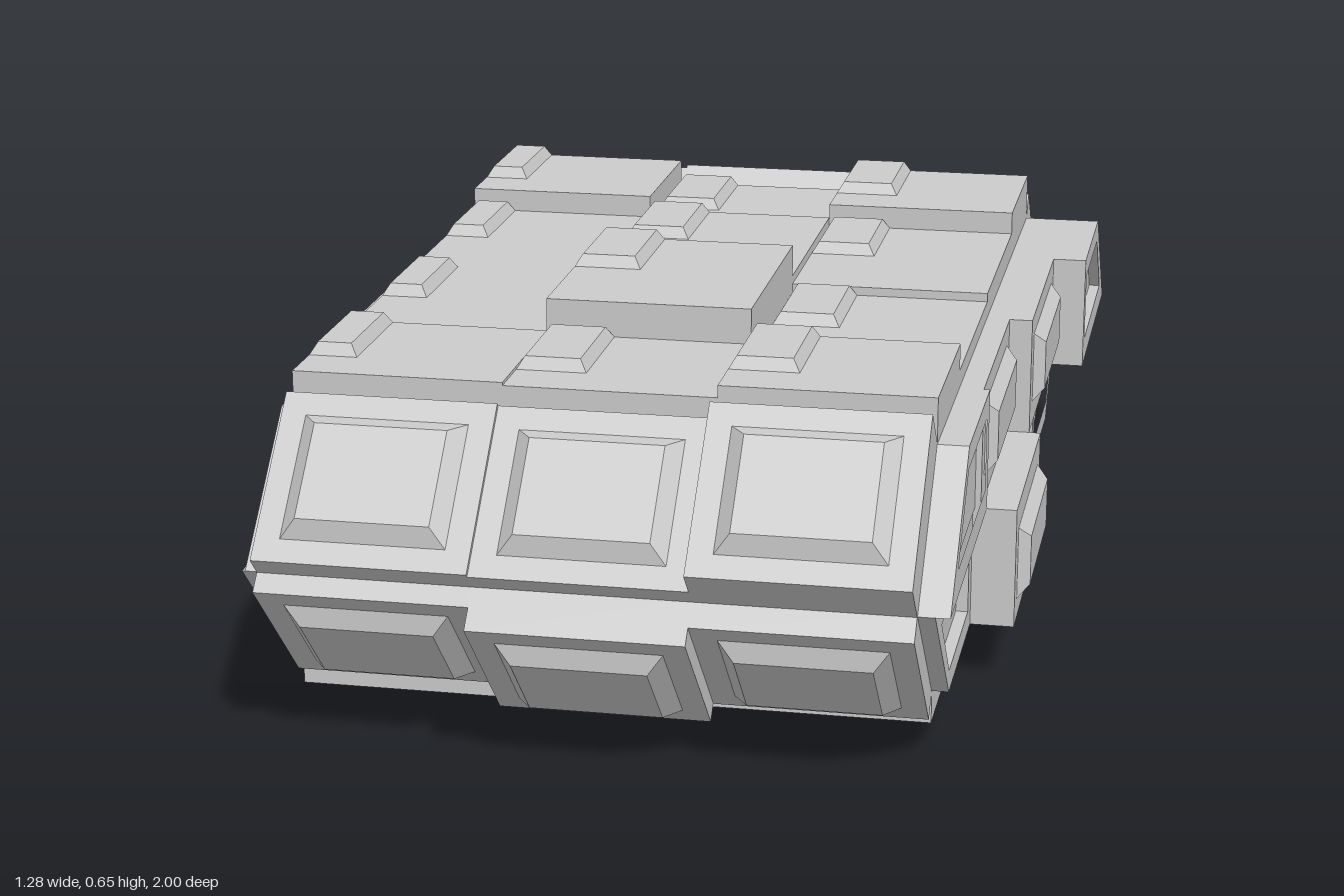
import * as THREE from 'three';

const material = new THREE.MeshStandardMaterial({ color: 0xcccccc, flatShading: true });
const COLS = [-0.535, -0.19, 0.155, 0.5];          // column borders in x
const ROWS = [0.72, 0.42, 0, -0.425, -0.73];       // row borders in z, front to back
const MID = 0.31, LOW = 0.105, HIGH = 0.515;       // hull heights
const TIP_F = 0.93, TIP_B = -0.94;

function add(parent, name, geometry, x = 0, y = 0, z = 0) {
  const mesh = new THREE.Mesh(geometry, material);
  mesh.name = name;
  mesh.position.set(x, y, z);
  parent.add(mesh);
  return mesh;
}

// Box standing on z = 0 whose outer (+z) face is inset on all sides
function raised(w, h, depth, inset = 0) {
  const g = new THREE.BoxGeometry(w, h, depth).translate(0, 0, depth / 2);
  const p = g.attributes.position;
  for (let i = 0; i < p.count; i++) {
    if (p.getZ(i) > depth / 2) {
      p.setX(i, p.getX(i) * (1 - 2 * inset / w));
      p.setY(i, p.getY(i) * (1 - 2 * inset / h));
    }
  }
  g.computeVertexNormals();
  return g;
}

function polygon(points) {
  return new THREE.Shape(points.map(([x, y]) => new THREE.Vector2(x, y)));
}

const extrude = (shape, depth) => new THREE.ExtrudeGeometry(shape, { depth, bevelEnabled: false });

// Hexagonal core running across the whole width
function buildHull(root) {
  const outline = [[0.72, LOW], [TIP_F, MID], [0.72, HIGH], [-0.73, HIGH], [TIP_B, MID], [-0.73, LOW]];
  const hull = add(root, 'hull', extrude(polygon(outline.map(([z, y]) => [-z, y])), 1.035), COLS[0]);
  hull.rotation.y = Math.PI / 2;
}

// Deck and belly plates, each with a small block in its rear corner
function buildPlates(root) {
  const top = [[0.575, 0.57, 0.59], [0.56, 0.63, 0.545], [0.56, 0.575, 0.56], [0.6, 0.555, 0.6]];
  const bottom = [[0.04, 0.05, 0.05], [0.05, 0.03, 0.055], [0.05, 0.05, 0.02], [0.055, 0.05, 0.055]];
  for (const up of [true, false]) {
    (up ? top : bottom).forEach((heights, r) => heights.forEach((level, c) => {
      const w = COLS[c + 1] - COLS[c], len = ROWS[r] - ROWS[r + 1];
      const base = up ? HIGH : LOW;
      const group = new THREE.Group();
      group.name = up ? 'deckPlate' : 'bellyPlate';
      group.position.set((COLS[c] + COLS[c + 1]) / 2, base, (ROWS[r] + ROWS[r + 1]) / 2);
      group.rotation.x = up ? -Math.PI / 2 : Math.PI / 2;
      const thick = Math.abs(level - base), bw = c === 0 ? 0.08 : 0.115, bl = 0.21;
      add(group, 'plate', raised(w, len, thick));
      const rear = (len - bl) / 2 * (up ? 1 : -1);
      add(group, 'plateBlock', raised(bw, bl, 0.02, 0.012), (bw - w) / 2, rear, thick);
      root.add(group);
    }));
  }
}

// Sloped panels at both ends, above and below the ridge
function buildEndPanels(root) {
  const ends = [
    { name: 'frontUpperPanel', back: false, up: true, d: [0.033, 0.028, 0.067] },
    { name: 'frontLowerPanel', back: false, up: false, d: [0.027, 0.055, 0.033] },
    { name: 'backUpperPanel', back: true, up: true, d: [0.055, 0.06, 0.037] },
    { name: 'backLowerPanel', back: true, up: false, d: [0.03, 0.035, 0.045] },
  ];
  const length = 0.21 * Math.SQRT2;
  for (const { name, back, up, d } of ends) {
    d.forEach((offset, c) => {
      const w = COLS[c + 1] - COLS[c], thick = offset * Math.SQRT2;
      const group = new THREE.Group();
      group.name = name;
      group.position.set((COLS[c] + COLS[c + 1]) / 2, up ? 0.4125 : 0.2075, back ? -0.835 : 0.825);
      group.rotation.set(up ? -Math.PI / 4 : Math.PI / 4, back ? Math.PI : 0, 0, 'YXZ');
      add(group, 'panel', raised(w, length, thick));
      add(group, 'panelFace', raised(w - 0.08, length - 0.08, 0.025, 0.025), 0, 0, thick);
      root.add(group);
    });
  }
}

// Side armour: pocketed trapezoids at the ends, square panels between
function buildSides(root) {
  const sides = [
    // panel surface in x per section (front to back); window = raised block present
    { s: 1, base: 0.5, upper: [0.55, 0.54, 0.58, 0.64], lower: [0.527, 0.6, 0.535, 0.55],
      upperWindow: [0, 1, 1, 0], lowerWindow: [0, 1, 0, 0] },
    { s: -1, base: -0.535, upper: [0.555, 0.585, 0.56, 0.58], lower: [0.56, 0.555, 0.625, 0.565],
      upperWindow: [0, 1, 0, 0], lowerWindow: [0, 0, 1, 0] },
  ];
  for (const side of sides) {
    const group = new THREE.Group();
    group.name = side.s > 0 ? 'leftSide' : 'rightSide';
    group.position.x = side.base;
    group.rotation.y = side.s * Math.PI / 2;
    root.add(group);
    for (const row of ['upper', 'lower']) {
      const flipY = (y) => (row === 'upper' ? y : 2 * MID - y);
      const map = (pts) => pts.map(([z, y]) => [-side.s * z, flipY(y)]);
      side[row].forEach((x, i) => {
        const thick = x - Math.abs(side.base);
        if (i === 0 || i === 3) {
          const f = i === 0 ? 1 : -1;
          const inner = f > 0 ? 0.42 : 0.425, shoulder = f > 0 ? 0.72 : 0.73;
          const outline = map([[inner, MID], [shoulder + 0.21, MID], [shoulder, HIGH], [inner, HIGH]]
            .map(([z, y]) => [f * z, y]));
          const pocket = map([[0.46, 0.355], [0.84, 0.355], [0.72, 0.478], [0.46, 0.478]]
            .map(([z, y]) => [f * z, y]));
          const depth = Math.min(0.02, thick * 0.8);
          const rim = polygon(outline);
          rim.holes.push(new THREE.Path(pocket.map(([a, b]) => new THREE.Vector2(a, b))));
          add(group, row + 'EndPanelFloor', extrude(polygon(outline), thick - depth));
          add(group, row + 'EndPanelRim', extrude(rim, depth), 0, 0, thick - depth);
        } else {
          const u = -side.s * (ROWS[i] + ROWS[i + 1]) / 2, v = flipY((MID + HIGH) / 2);
          add(group, row + 'SidePanel', raised(ROWS[i] - ROWS[i + 1], HIGH - MID, thick), u, v);
          if (side[row + 'Window'][i]) {
            add(group, row + 'SideBlock', raised(0.34, 0.125, 0.02, 0.02), u, flipY(0.417), thick);
          }
        }
      });
    }
  }
}

export function createModel() {
  const root = new THREE.Group();
  root.name = 'armouredHull';
  buildHull(root);
  buildPlates(root);
  buildEndPanels(root);
  buildSides(root);
  return root;
}
